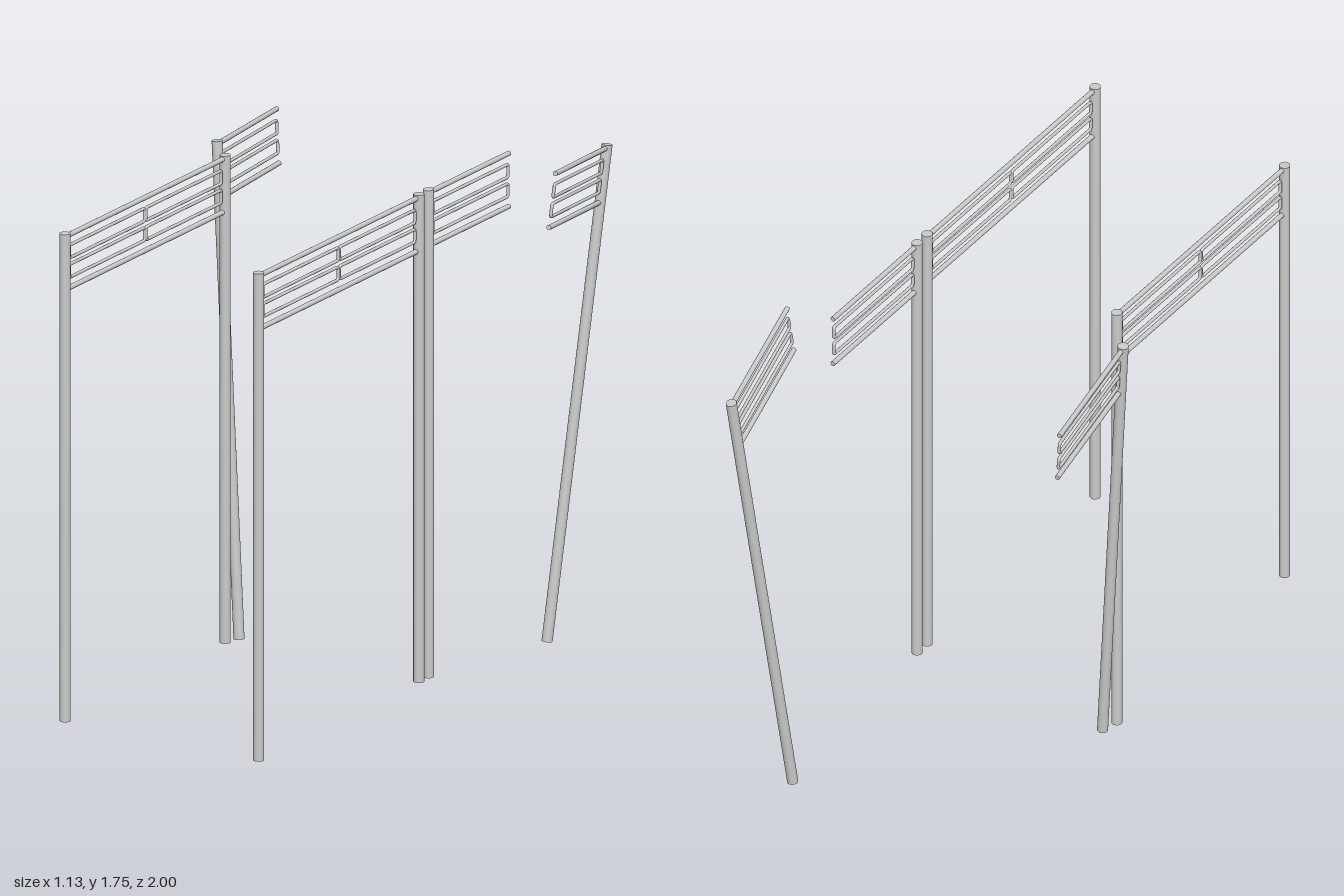
import * as THREE from 'three';

const POST_R = 0.018, POST_LEN = 1.665;
const RAIL_R = 0.0085, LOOP_R = 0.0055;
const REACH = 0.482; // length of half a fence section
const material = new THREE.MeshStandardMaterial({ color: 0xcccccc });

function add(parent, name, geometry, x, y, z) {
  const mesh = new THREE.Mesh(geometry, material);
  mesh.name = name;
  mesh.position.set(x, y, z);
  parent.add(mesh);
}

// Round bar centred at (0, y, z), lying along z or standing along y
function bar(parent, name, r, length, y, z, alongZ) {
  const geometry = new THREE.CylinderGeometry(r, r, length, alongZ ? 12 : 24);
  if (alongZ) geometry.rotateX(Math.PI / 2);
  add(parent, name, geometry, 0, y, z);
}

// Closed rectangular ring with rounded corners in the yz plane
function loopFrame(parent, yMid, z0, z1, halfHeight) {
  const loop = new THREE.Group();
  loop.name = 'loopFrame';
  const c = 0.008, zMid = (z0 + z1) / 2, halfLength = (z1 - z0) / 2;
  for (const s of [-1, 1]) {
    bar(loop, 'loopRail', LOOP_R, 2 * (halfLength - c), yMid + s * halfHeight, zMid, true);
    bar(loop, 'loopEnd', LOOP_R, 2 * (halfHeight - c), yMid, zMid + s * halfLength, false);
  }
  for (let i = 0; i < 4; i++) {
    const a = i * Math.PI / 2 + Math.PI / 4;
    const corner = new THREE.TorusGeometry(c, LOOP_R, 10, 6, Math.PI / 2);
    corner.rotateZ(i * Math.PI / 2);
    corner.rotateY(-Math.PI / 2); // x becomes z
    add(loop, 'loopCorner', corner, 0,
      yMid + Math.sign(Math.sin(a)) * (halfHeight - c),
      zMid + Math.sign(Math.cos(a)) * (halfLength - c));
  }
  parent.add(loop);
}

// Post with half a section of railing; top and foot are the post's ends,
// heading is the direction the rails run
function halfSection(name, top, foot, heading) {
  const group = new THREE.Group();
  group.name = name;
  bar(group, 'post', POST_R, POST_LEN, -POST_LEN / 2, 0, false);
  for (const y of [-0.012, -0.193]) bar(group, 'rail', RAIL_R, REACH, y, REACH / 2, true);
  for (const y of [-0.07, -0.136]) loopFrame(group, y, 0.025, REACH - LOOP_R, 0.022);

  const t = new THREE.Vector3(...top);
  const up = t.clone().sub(new THREE.Vector3(...foot)).normalize();
  const side = up.clone().cross(new THREE.Vector3(...heading)).normalize();
  const forward = side.clone().cross(up);
  group.quaternion.setFromRotationMatrix(new THREE.Matrix4().makeBasis(side, up, forward));
  group.position.copy(t);
  return group;
}

export function createModel() {
  const model = new THREE.Group();
  model.name = 'brokenFence';
  const yTop = 1.746, yFoot = 0.081, xLeft = 0.376, xRight = -0.37;

  // Intact sections on both sides
  for (const [side, x] of [['left', xLeft], ['right', xRight]]) {
    model.add(halfSection(side + 'FrontHalf', [x, yTop, 0.982], [x, yFoot, 0.982], [0, 0, -1]));
    model.add(halfSection(side + 'BackHalf', [x, yTop, 0.022], [x, yFoot, 0.022], [0, 0, 1]));
  }

  // Broken halves: one upright, two leaning away
  model.add(halfSection('brokenUprightHalf', [xLeft, yTop, -0.036], [xLeft, yFoot, -0.036], [0, 0, -1]));
  model.add(halfSection('brokenLeaningHalf', [-0.484, 1.738, -0.107], [-0.354, 0.081, -0.036], [-0.077, 0, -0.468]));
  model.add(halfSection('brokenFallingHalf', [0.456, 1.649, -0.982], [0.374, 0.003, -0.75], [0.1, 0, 0.479]));
  return model;
}
